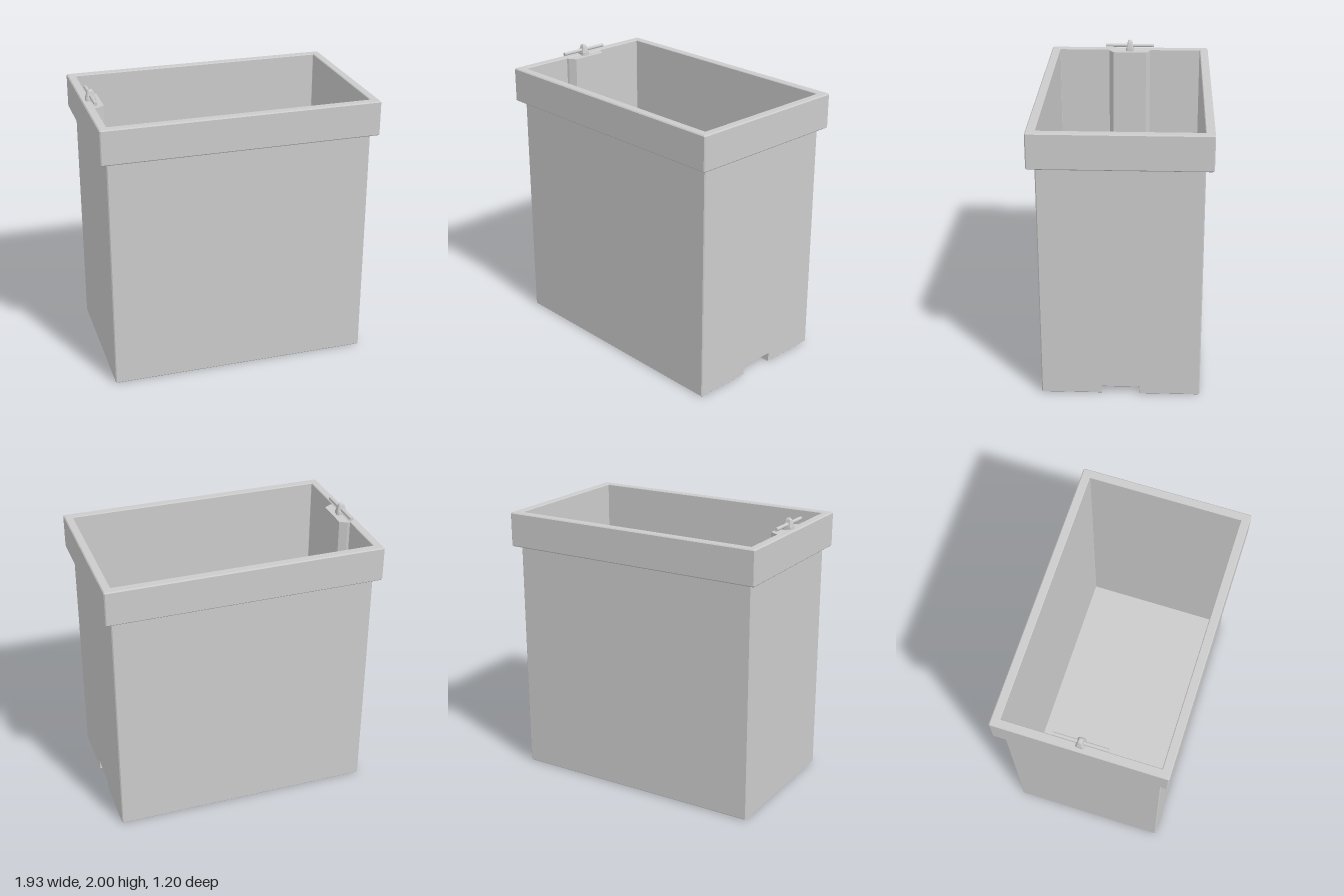
import * as THREE from 'three';

const material = new THREE.MeshStandardMaterial({ color: 0xcccccc, flatShading: true });

function add(group, name, geometry) {
  const mesh = new THREE.Mesh(geometry, material);
  mesh.name = name;
  group.add(mesh);
  return mesh;
}

// Corner points of a rectangle with chamfered corners
function chamferedRect(hx, hz, c) {
  return [
    [hx, -hz + c], [hx, hz - c], [hx - c, hz], [-hx + c, hz],
    [-hx, hz - c], [-hx, -hz + c], [-hx + c, -hz], [hx - c, -hz],
  ];
}

// Skin over a stack of chamfered rectangles [halfX, halfZ, y, chamfer]
function loft(sections) {
  const position = [], index = [];
  for (const [hx, hz, y, c] of sections)
    for (const [x, z] of chamferedRect(hx, hz, c)) position.push(x, y, z);
  for (let j = 0; j < sections.length - 1; j++)
    for (let i = 0; i < 8; i++) {
      const a = j * 8 + i, b = j * 8 + (i + 1) % 8;
      index.push(a, a + 8, b, b, a + 8, b + 8);
    }
  const geometry = new THREE.BufferGeometry();
  geometry.setAttribute('position', new THREE.Float32BufferAttribute(position, 3));
  geometry.setIndex(index);
  geometry.computeVertexNormals();
  return geometry;
}

// Extrude an x/z outline upright between two heights
function prism(points, y0, y1, steps = 1) {
  const shape = new THREE.Shape(points.map(([x, z]) => new THREE.Vector2(x, z)));
  return new THREE.ExtrudeGeometry(shape, { depth: y1 - y0, steps, bevelEnabled: false })
    .rotateX(Math.PI / 2).translate(0, y1, 0);
}

export function createModel() {
  const model = new THREE.Group();
  const X = 0.92, Z = 0.545, notchTop = 0.07, floor = 0.09, rim = 1.925, bevel = 0.007;

  // Open box: outside, overhanging lip, rim, inside and floor in one skin
  add(model, 'openBox', loft([
    [0, 0, notchTop, 0],
    [X, Z, notchTop, bevel],
    [X, Z, 1.68, bevel],
    [0.959, 0.591, 1.68, bevel],
    [0.966, 0.598, 1.687, bevel],
    [0.966, 0.598, rim - bevel, bevel],
    [0.959, 0.591, rim, bevel],
    [0.912, 0.541, rim, 0.002],
    [0.907, 0.536, rim - 0.005, 0.002],
    [0.907, 0.536, floor, 0.002],
    [0, 0, floor, 0],
  ]));

  // Base with a drain notch in the left end and a bevelled lower edge
  const outline = chamferedRect(X, Z, bevel);
  outline.splice(1, 0, [X, -0.13], [X - 0.08, -0.13], [X - 0.08, 0.13], [X, 0.13]);
  const base = prism(outline, 0, notchTop, 2);
  const p = base.attributes.position;
  for (let i = 0; i < p.count; i++) {
    const y = p.getY(i);
    if (y > 0.001 && y < notchTop - 0.001) p.setY(i, bevel);
    if (y <= 0.001) {
      p.setX(i, p.getX(i) * (1 - bevel / X));
      p.setZ(i, p.getZ(i) * (1 - bevel / Z));
    }
  }
  base.computeVertexNormals();
  add(model, 'notchedBase', base);

  // Tapered duct running down the inside of the right end
  add(model, 'innerDuct', prism(
    [[-0.912, -0.16], [-0.89, -0.155], [-0.84, -0.125], [-0.84, 0.125], [-0.89, 0.155], [-0.912, 0.16]],
    floor - 0.01, rim - 0.005));

  // Rounded post on the rim
  const latch = new THREE.Group();
  latch.name = 'latch';
  latch.position.x = -0.905;
  model.add(latch);
  add(latch, 'post', loft([
    [0.036, 0.03, 1.915, 0.009],
    [0.034, 0.028, 1.94, 0.009],
    [0.028, 0.021, 1.966, 0.008],
    [0.021, 0.016, 1.987, 0.006],
    [0.013, 0.011, 1.997, 0.005],
    [0.006, 0.005, 2.0, 0.002],
    [0, 0, 2.0, 0],
  ]));

  // Cross bar through the post
  const bar = add(latch, 'crossBar', new THREE.CylinderGeometry(0.0125, 0.0125, 0.37, 12).rotateX(Math.PI / 2));
  bar.position.y = 1.957;

  return model;
}
